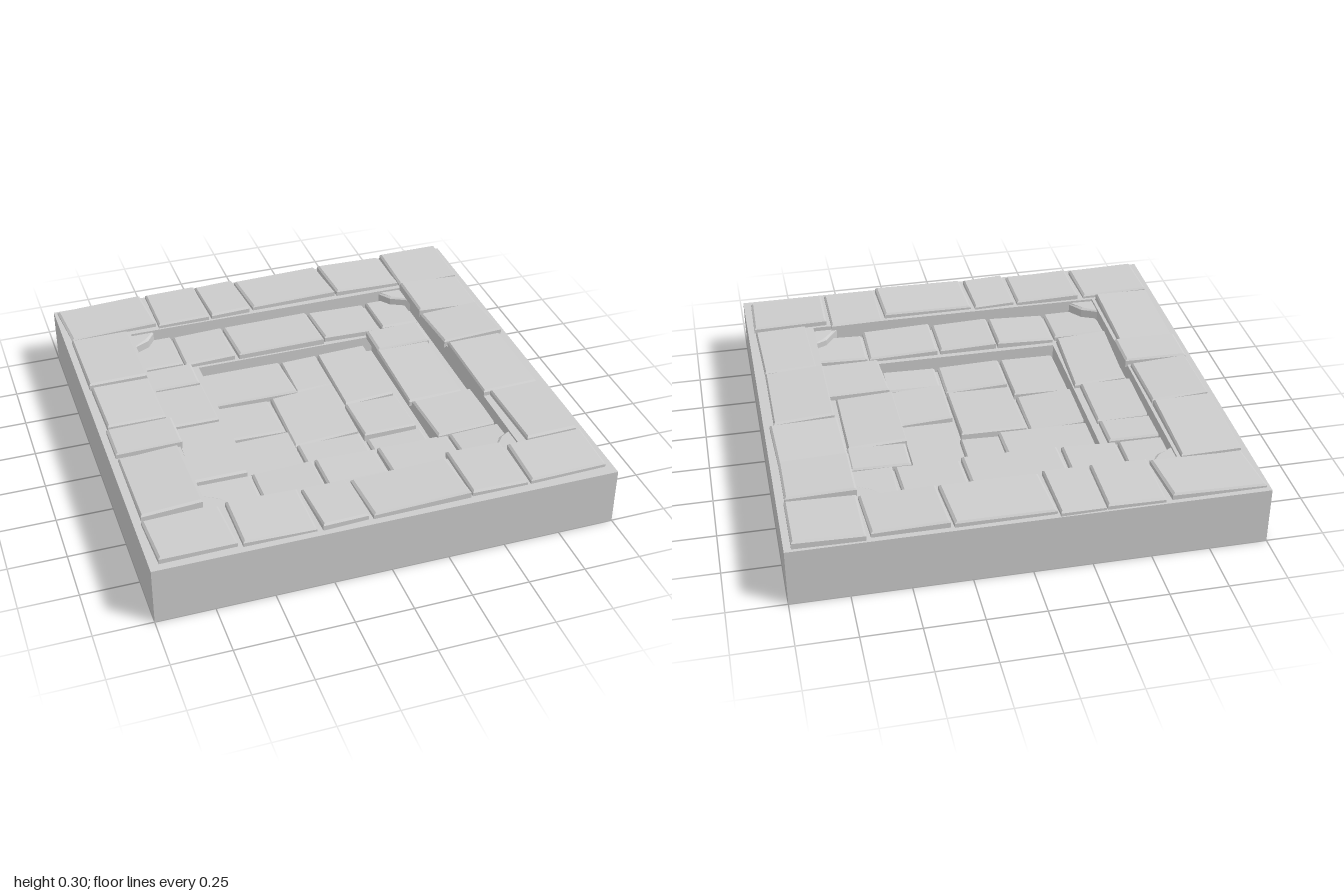
import * as THREE from 'three';

const stone = new THREE.MeshStandardMaterial({ color: 0xcccccc, flatShading: true });

// small seeded generator for the uneven laying of the stones, -1..1
let seed = 7;
const jitter = () => {
  seed = (seed * 16807) % 2147483647;
  return (seed / 2147483647) * 2 - 1;
};

// Paving stones per terrace: [x0, z0, x1, z1, x shift of the front edge, z shift of the right edge]
const rim = [
  [-.985, -.975, -.58, -.715, .02, -.005], [-.55, -.99, -.305, -.70, 0, 0],
  [-.30, -.99, -.11, -.70, .01, -.005], [-.10, -.975, .32, -.715, .02, -.005],
  [.335, -.975, .655, -.715, .015, 0], [.675, -.99, .97, -.70, 0, .005],
  [-.97, -.70, -.705, -.285, 0, -.005], [-.965, -.27, -.705, .05, .005, -.01],
  [-.97, .06, -.68, .25, 0, 0], [-.965, .265, -.705, .69, 0, -.01],
  [-.97, .71, -.65, .965, .01, -.005], [-.62, .705, -.315, .97, 0, 0],
  [-.30, .715, -.105, .975, .01, -.01], [-.085, .715, .34, .97, .01, -.005],
  [.36, .665, .605, .96, 0, 0], [.625, .705, .97, .96, -.005, -.01],
  [.67, -.685, .965, -.42, 0, .005], [.67, -.41, .965, -.13, .01, -.015],
  [.69, -.115, .955, .31, 0, -.015], [.72, .305, .955, .685, .01, -.01],
];
const step = [
  [-.705, -.705, -.50, -.455], [-.49, -.695, -.25, -.445], [-.24, -.695, .18, -.44, .01],
  [.19, -.695, .47, -.455, .01, .01], [.49, -.69, .67, -.445],
  [-.705, -.44, -.465, -.28], [-.70, -.27, -.46, .03], [-.675, .045, -.435, .455, -.015, -.01],
  [-.69, .465, -.445, .70], [-.435, .455, -.165, .705], [-.155, .455, .115, .70],
  [.13, .455, .455, .695], [.465, .455, .72, .66],
  [.405, -.44, .665, -.275], [.395, -.265, .655, .16, 0, -.01], [.405, .17, .69, .445, .015, -.01],
];
const floor = [
  [-.46, -.44, -.04, -.175, .01, .005], [-.03, -.435, .145, -.18], [.155, -.44, .39, -.02, 0, -.01],
  [-.44, -.155, -.18, .11, .005, -.005], [-.165, -.155, .135, .215, 0, -.01],
  [.145, -.005, .395, .26, 0, -.01], [-.425, .12, -.17, .445], [-.16, .225, .135, .45, 0, -.01],
  [.15, .27, .405, .435],
];

// Upright slab with a chamfered, slightly tilted top
function slab(name, outline, bottom, top, tilt) {
  const n = outline.length;
  const cx = outline.reduce((s, p) => s + p[0], 0) / n;
  const cz = outline.reduce((s, p) => s + p[1], 0) / n;
  const tx = jitter() * tilt, tz = jitter() * tilt;
  const ring = (inset, height) => outline.map(([x, z]) => {
    const dx = x - cx, dz = z - cz, k = 1 - inset / Math.hypot(dx, dz);
    return [cx + dx * k, height === null ? bottom : height + dx * tx + dz * tz, cz + dz * k];
  });
  const rings = [ring(0, null), ring(0, top - .008), ring(.012, top)];
  const pos = [];
  for (let i = 0; i < n; i++) {
    const j = (i + 1) % n;
    for (let r = 0; r < 2; r++) {
      const [a, b, c, d] = [rings[r][i], rings[r][j], rings[r + 1][j], rings[r + 1][i]];
      pos.push(...a, ...b, ...c, ...a, ...c, ...d);
    }
    if (i > 0 && i < n - 1) pos.push(...rings[2][0], ...rings[2][i], ...rings[2][j]);
  }
  const geo = new THREE.BufferGeometry();
  geo.setAttribute('position', new THREE.Float32BufferAttribute(pos, 3));
  geo.computeVertexNormals();
  const mesh = new THREE.Mesh(geo, stone);
  mesh.name = name;
  return mesh;
}

function terrace(name, stones, bottom, top) {
  const group = new THREE.Group();
  group.name = name;
  stones.forEach(([x0, z0, x1, z1, sx = 0, sz = 0]) => {
    const outline = [[x0, z0], [x0 + sx, z1], [x1 + sx, z1 + sz], [x1, z0 + sz]];
    group.add(slab('pavingStone', outline, bottom, top + jitter() * .004, .04));
  });
  return group;
}

export function createModel() {
  seed = 7;
  const model = new THREE.Group();
  model.name = 'sunkenPavedFloor';

  // Square bed stepping down twice towards the middle
  const profile = [[0, 0], [1, 0], [1, .26], [.69, .26], [.69, .18], [.43, .18], [.43, .1], [0, .1]]
    .map(([half, y]) => new THREE.Vector2(half * Math.SQRT2, y));
  const bedGeo = new THREE.LatheGeometry(profile, 4).rotateY(Math.PI / 4).toNonIndexed();
  bedGeo.computeVertexNormals();
  const bed = new THREE.Mesh(bedGeo, stone);
  bed.name = 'steppedBed';
  model.add(bed);

  // Three terraces of paving
  model.add(terrace('rimPaving', rim, .25, .285));
  model.add(terrace('stepPaving', step, .17, .208));
  model.add(terrace('floorPaving', floor, .09, .128));

  // Chipped filler stones in the corners of the middle terrace
  [[-.71, -.72, 1, 1], [.69, -.72, -1, 1], [-.71, .71, 1, -1], [.73, .68, -1, -1]].forEach(([x, z, sx, sz]) => {
    const outline = [[0, 0], [0, .13], [.09, .085], [.15, 0]].map(([u, v]) => [x + sx * u, z + sz * v]);
    if (sx * sz < 0) outline.reverse();
    model.add(slab('cornerStone', outline, .17, .25, .02));
  });

  return model;
}
